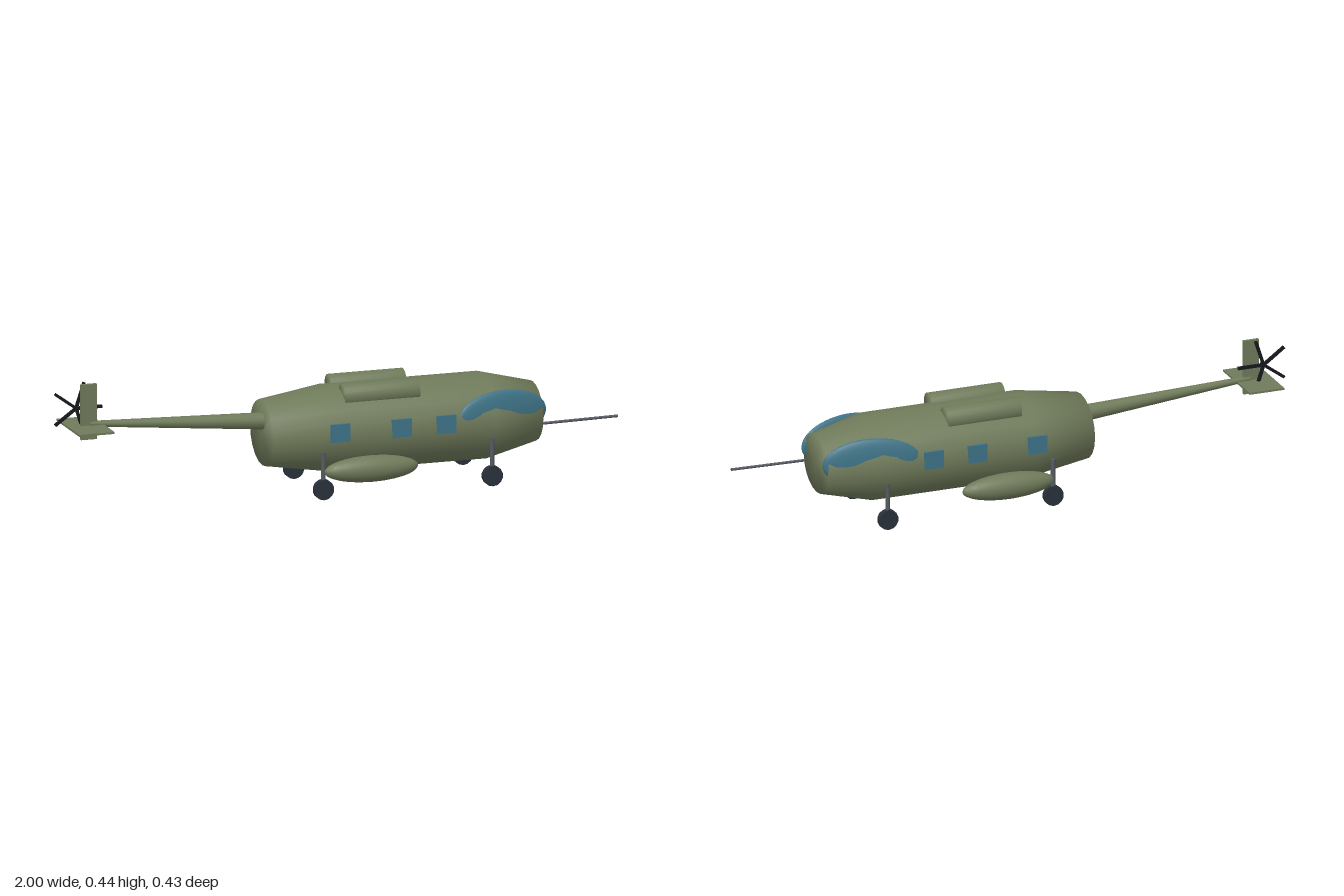
import * as THREE from 'three';

const mat = (name, color, extra = {}) => {
  const m = new THREE.MeshStandardMaterial({ color, ...extra });
  m.name = name;
  return m;
};

export function createModel() {
  const olive = mat('olive paint', 0x6f7a5a);
  const glass = mat('blue glass', 0x3f7488);
  const rubber = mat('dark rubber', 0x2a313a);
  const steel = mat('grey steel', 0x555a62);
  const black = mat('rotor black', 0x15181d);

  const model = new THREE.Group();
  model.name = 'helicopter';

  const add = (name, geometry, material, x = 0, y = 0, z = 0, parent = model) => {
    const mesh = new THREE.Mesh(geometry, material);
    mesh.name = name;
    mesh.position.set(x, y, z);
    parent.add(mesh);
    return mesh;
  };

  // Solid of revolution along x from [x, radius] pairs
  const turned = (profile, sides) =>
    new THREE.LatheGeometry(profile.map(([x, r]) => new THREE.Vector2(r, x)), sides).rotateZ(-Math.PI / 2);

  // Round rod between two points
  const rod = (name, a, b, ra, rb, sides, material) => {
    const from = new THREE.Vector3(...a), to = new THREE.Vector3(...b);
    const dir = to.clone().sub(from);
    const mesh = add(name, new THREE.CylinderGeometry(rb, ra, dir.length(), sides), material);
    mesh.position.copy(from).add(to).multiplyScalar(0.5);
    mesh.quaternion.setFromUnitVectors(new THREE.Vector3(0, 1, 0), dir.normalize());
    return mesh;
  };

  // Fuselage: tapered barrel, slightly wider than tall
  const hull = turned([[-0.255, 0], [-0.255, 0.115], [-0.03, 0.15], [0.54, 0.15], [0.725, 0.104], [0.725, 0]], 20);
  add('fuselage', hull.scale(1, 1, 1.12), olive, 0, 0.213, 0);

  // Parts mirrored on both sides
  for (const s of [1, -1]) {
    const side = s > 0 ? 'left' : 'right';

    const canopy = add(side + 'Canopy', new THREE.SphereGeometry(1, 32, 20), glass, 0.572, 0.24, s * 0.126);
    canopy.scale.set(0.172, 0.087, 0.023);
    canopy.rotation.y = s * 0.175;

    const engine = turned([[-0.135, 0], [-0.135, 0.041], [0.135, 0.041], [0.135, 0]], 24);
    add(side + 'Engine', engine, olive, 0.145, 0.34, s * 0.074);

    const sponson = add(side + 'Sponson', new THREE.SphereGeometry(1, 24, 16), olive, 0.083, 0.099, s * 0.169);
    sponson.scale.set(0.17, 0.046, 0.044);

    for (const x of [-0.027, 0.195, 0.357]) {
      add(side + 'Window', new THREE.BoxGeometry(0.07, 0.064, 0.009), glass, x, 0.232, s * 0.1655);
    }

    for (const [x, name] of [[0.525, 'Front'], [-0.087, 'Rear']]) {
      rod(side + name + 'Strut', [x, 0.036, s * 0.158], [x, 0.168, s * 0.158], 0.008, 0.008, 10, steel);
      const wheel = new THREE.CylinderGeometry(0.036, 0.036, 0.02, 14).rotateX(Math.PI / 2);
      add(side + name + 'Wheel', wheel, rubber, x, 0.036, s * 0.159);
    }
  }

  // Nose gun on the left side only
  rod('gunBarrel', [0.6, 0.188, 0.1], [1, 0.195, 0.1], 0.005, 0.005, 8, steel);

  // Tail
  rod('tailBoom', [-0.24, 0.254, 0], [-0.88, 0.295, 0], 0.03, 0.01, 14, olive);
  add('tailFin', new THREE.BoxGeometry(0.057, 0.195, 0.0125), olive, -0.884, 0.338, 0);
  add('tailPlane', new THREE.BoxGeometry(0.128, 0.007, 0.242), olive, -0.895, 0.287, 0);

  // Five-bladed tail rotor beside the fin
  const rotor = new THREE.Group();
  rotor.name = 'tailRotor';
  rotor.position.set(-0.921, 0.347, -0.025);
  model.add(rotor);
  add('rotorHub', new THREE.CylinderGeometry(0.008, 0.008, 0.022, 10).rotateX(Math.PI / 2), black, 0, 0, 0.004, rotor);
  for (let i = 0; i < 5; i++) {
    const blade = add('rotorBlade', new THREE.BoxGeometry(0.094, 0.01, 0.01).translate(0.047, 0, 0), black, 0, 0, 0, rotor);
    blade.rotation.z = i * Math.PI * 0.4;
  }

  return model;
}
